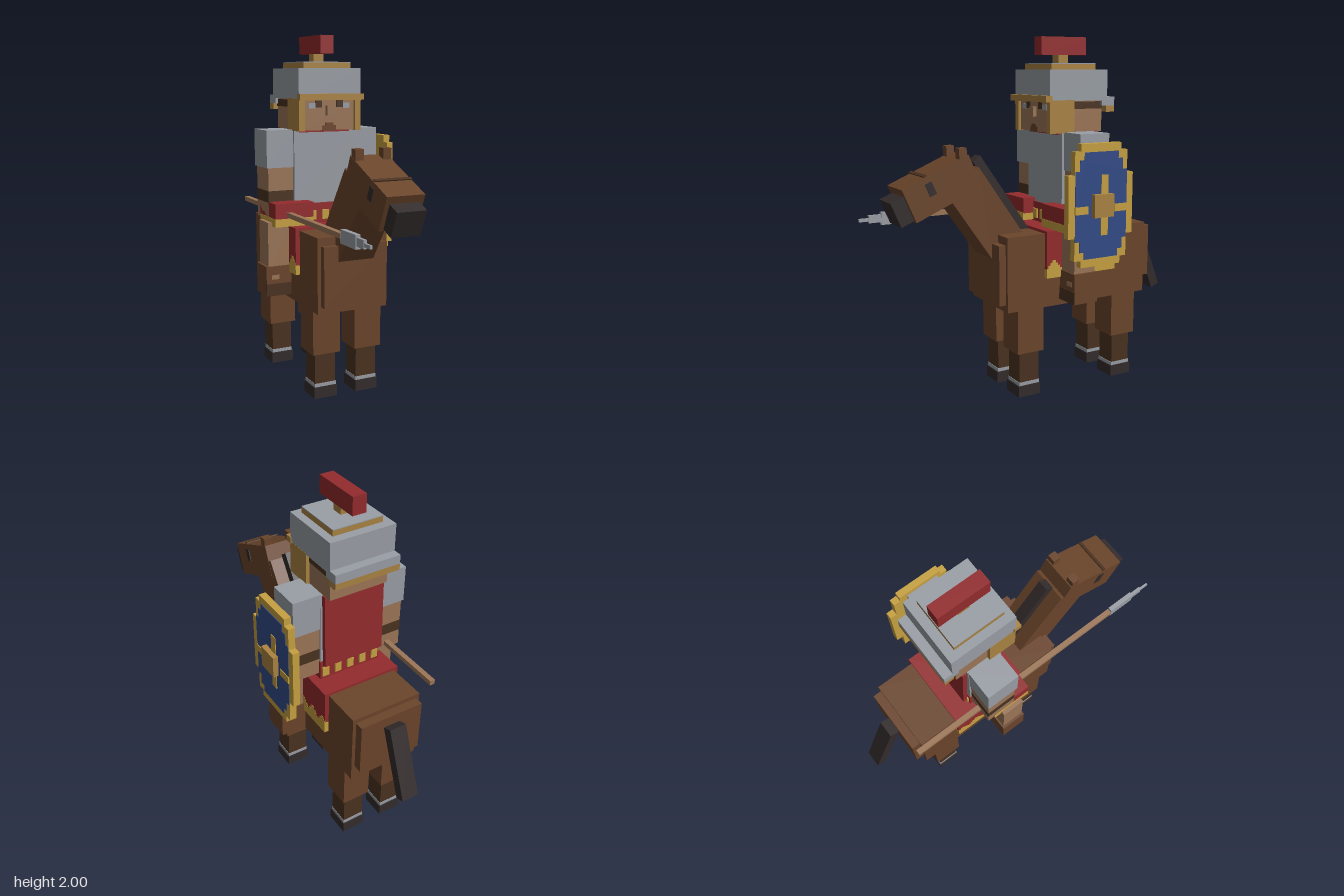
import * as THREE from 'three';

const mat = (name, color) => Object.assign(new THREE.MeshStandardMaterial({ color }), { name });

export function createModel() {
  const root = new THREE.Group();
  root.name = 'mountedSoldier';
  const brown = mat('horse brown', 0x6b452b), darkBrown = mat('dark brown', 0x4a3220);
  const black = mat('hoof black', 0x342c2d), steel = mat('steel', 0x9a9fa6);
  const gold = mat('gold', 0xc8a242), bronze = mat('bronze', 0xab8442);
  const red = mat('red', 0x942b2d), blue = mat('blue', 0x334b88), skin = mat('skin', 0x9c7657);

  const CX = -0.04; // centre line of horse and rider
  const group = (name) => {
    const g = new THREE.Group();
    g.name = name;
    root.add(g);
    return g;
  };
  // box from its limits along each axis
  const box = (g, name, m, x0, x1, y0, y1, z0, z1) => {
    const mesh = new THREE.Mesh(new THREE.BoxGeometry(x1 - x0, y1 - y0, z1 - z0), m);
    mesh.position.set((x0 + x1) / 2, (y0 + y1) / 2, (z0 + z1) / 2);
    mesh.name = name;
    g.add(mesh);
    return mesh;
  };
  // box of half width w on the centre line
  const mid = (g, name, m, w, ...r) => box(g, name, m, CX - w, CX + w, ...r);
  // two boxes mirrored about the centre line, a..b from it
  const pair = (g, name, m, a, b, ...r) => {
    box(g, name + 'Left', m, CX + a, CX + b, ...r);
    box(g, name + 'Right', m, CX - b, CX - a, ...r);
  };
  // box tilted about x, given centre and size
  const tilted = (g, name, m, w, h, d, y, z, angle, x = CX) => {
    const mesh = box(g, name, m, x - w / 2, x + w / 2, y - h / 2, y + h / 2, z - d / 2, z + d / 2);
    mesh.rotation.x = angle;
    return mesh;
  };

  // horse body
  const horse = group('horse');
  mid(horse, 'horseBody', brown, 0.21, 0.51, 0.93, -0.665, 0.26);
  mid(horse, 'chest', brown, 0.19, 0.55, 0.885, 0.25, 0.3);
  mid(horse, 'rump', brown, 0.19, 0.6, 0.905, -0.715, -0.65);
  tilted(horse, 'tail', black, 0.1, 0.415, 0.058, 0.665, -0.817, 0.37);

  // legs
  for (const [name, z] of [['front', 0.115], ['rear', -0.52]]) {
    pair(horse, name + 'UpperLeg', brown, 0.045, 0.21, 0.26, 0.53, z - 0.083, z + 0.083);
    pair(horse, name + 'LowerLeg', darkBrown, 0.065, 0.19, 0.085, 0.26, z - 0.061, z + 0.061);
    pair(horse, name + 'Fetlock', steel, 0.063, 0.192, 0.065, 0.085, z - 0.064, z + 0.064);
    pair(horse, name + 'Hoof', black, 0.058, 0.197, 0, 0.065, z - 0.07, z + 0.07);
  }

  // neck, mane and head
  tilted(horse, 'neck', brown, 0.21, 0.47, 0.232, 1.051, 0.334, 0.61);
  tilted(horse, 'mane', black, 0.065, 0.54, 0.055, 1.125, 0.195, 0.61);
  tilted(horse, 'horseHead', brown, 0.212, 0.192, 0.41, 1.21, 0.583, 0.405);
  tilted(horse, 'muzzle', black, 0.164, 0.142, 0.1, 1.104, 0.79, 0.405);
  tilted(horse, 'noseband', darkBrown, 0.1, 0.006, 0.02, 1.28, 0.68, 0.405).scale.x = 2.1;
  for (const s of [-1, 1]) {
    tilted(horse, 'ear', brown, 0.048, 0.09, 0.045, 1.37, 0.463, 0.05, CX + s * 0.08);
    tilted(horse, 'horseEye', black, 0.006, 0.072, 0.04, 1.212, 0.652, 0.405, CX + s * 0.107);
  }

  // saddle cloth with a stepped gold fringe
  const cloth = group('saddleCloth');
  mid(cloth, 'clothTop', red, 0.235, 0.925, 0.945, -0.435, 0.025);
  pair(cloth, 'clothSide', red, 0.21, 0.235, 0.73, 0.94, -0.435, 0.025);
  pair(cloth, 'fringe', gold, 0.21, 0.236, 0.68, 0.735, -0.435, 0.025);
  for (let i = 0; i < 5; i++) {
    const z = -0.02 - i * 0.0975;
    [[0.038, 0.75], [0.025, 0.765], [0.012, 0.78]].forEach(([w, top]) =>
      pair(cloth, 'fringePeak', gold, 0.209, 0.2365, 0.73, top, Math.max(z - w, -0.4355), z + w));
  }

  // rider legs
  const rider = group('rider');
  pair(rider, 'thigh', red, 0.105, 0.335, 0.99, 1.08, -0.25, -0.02);
  pair(rider, 'thighHem', gold, 0.105, 0.337, 0.95, 0.995, -0.25, -0.018);
  pair(rider, 'shin', skin, 0.232, 0.36, 0.68, 0.97, -0.205, -0.072);
  pair(rider, 'boot', brown, 0.225, 0.375, 0.55, 0.72, -0.215, -0.065);
  pair(rider, 'bootToe', darkBrown, 0.225, 0.375, 0.55, 0.62, -0.07, -0.062);
  pair(rider, 'sandalGap', skin, 0.3, 0.345, 0.645, 0.67, -0.07, -0.062);

  // torso, skirt and cape
  mid(rider, 'breastplate', steel, 0.185, 1.05, 1.475, -0.305, -0.1);
  mid(rider, 'skirt', red, 0.187, 0.945, 1.06, -0.31, -0.09);
  for (let i = -2; i <= 2; i++) {
    const x = CX + i * 0.078;
    box(rider, 'skirtStrapBack', gold, x - 0.02, x + 0.02, 0.965, 1.02, -0.32, -0.3);
    box(rider, 'skirtStrapFront', gold, x - 0.02, x + 0.02, 0.965, 1.02, -0.1, -0.08);
  }
  mid(rider, 'scarf', red, 0.155, 1.465, 1.482, -0.3, -0.09);
  tilted(rider, 'cape', red, 0.36, 0.43, 0.025, 1.265, -0.33, 0.03);

  // arms
  pair(rider, 'shoulderGuard', steel, 0.18, 0.345, 1.27, 1.48, -0.302, -0.113);
  pair(rider, 'upperArm', skin, 0.185, 0.335, 1.14, 1.28, -0.295, -0.12);
  pair(rider, 'wristband', darkBrown, 0.184, 0.336, 1.075, 1.14, -0.296, -0.119);
  pair(rider, 'hand', skin, 0.185, 0.335, 0.98, 1.075, -0.295, -0.12);

  // face
  const head = group('riderHead');
  mid(head, 'head', skin, 0.172, 1.478, 1.66, -0.37, -0.035);
  mid(head, 'hair', darkBrown, 0.175, 1.605, 1.645, -0.373, -0.17);
  mid(head, 'nose', skin, 0.02, 1.56, 1.615, -0.04, -0.01);
  mid(head, 'beard', brown, 0.04, 1.475, 1.505, -0.037, -0.029);
  mid(head, 'mouth', brown, 0.025, 1.505, 1.52, -0.037, -0.029);
  pair(head, 'eyeWhite', steel, 0.085, 0.128, 1.6, 1.63, -0.037, -0.03);
  pair(head, 'iris', darkBrown, 0.045, 0.085, 1.605, 1.645, -0.037, -0.029);

  // helmet
  mid(head, 'helmet', steel, 0.19, 1.65, 1.82, -0.395, -0.018);
  mid(head, 'browBand', bronze, 0.196, 1.645, 1.68, -0.03, 0.013);
  pair(head, 'cheekGuard', bronze, 0.155, 0.191, 1.475, 1.655, -0.175, -0.016);
  mid(head, 'neckGuard', steel, 0.19, 1.62, 1.67, -0.445, -0.36);
  mid(head, 'neckGuardTrim', bronze, 0.19, 1.585, 1.62, -0.445, -0.39);
  mid(head, 'crownRim', bronze, 0.145, 1.82, 1.85, -0.345, -0.055);
  mid(head, 'crownTop', steel, 0.145, 1.85, 1.855, -0.345, -0.055);
  mid(head, 'crestStem', bronze, 0.03, 1.855, 1.905, -0.235, -0.17);
  mid(head, 'crest', red, 0.04, 1.9, 2, -0.35, -0.055);

  // spear
  const spear = group('spear');
  box(spear, 'spearShaft', skin, -0.307, -0.277, 1.003, 1.03, -0.71, 0.64);
  box(spear, 'spearBlade', steel, -0.305, -0.279, 0.98, 1.05, 0.64, 0.8);
  box(spear, 'spearPoint', steel, -0.301, -0.283, 0.995, 1.038, 0.8, 0.87);
  box(spear, 'spearTip', steel, -0.298, -0.286, 1.005, 1.023, 0.87, 0.925);

  // shield: stepped rim, stepped blue field, broken cross and boss
  const shield = group('shield');
  const stepped = (name, m, steps, x0, x1) => {
    const quarter = steps.flatMap(([z, y], i) => (i ? [[z, steps[i - 1][1]], [z, y]] : [[z, y]]));
    const pts = [];
    [[1, 1], [-1, 1], [-1, -1], [1, -1]].forEach(([sz, sy], i) => {
      const q = quarter.map(([z, y]) => new THREE.Vector2(sz * z, sy * y));
      pts.push(...(i % 2 ? q.reverse() : q));
    });
    const geo = new THREE.ExtrudeGeometry(new THREE.Shape(pts), { depth: x1 - x0, bevelEnabled: false });
    geo.rotateY(Math.PI / 2);
    const mesh = new THREE.Mesh(geo, m);
    mesh.name = name;
    mesh.position.set(x0, 1.1, -0.205);
    shield.add(mesh);
  };
  stepped('shieldRim', gold, [[0.21, 0.17], [0.17, 0.295], [0.13, 0.335]], 0.335, 0.374);
  stepped('shieldField', blue, [[0.168, 0.19], [0.14, 0.25], [0.11, 0.29]], 0.37, 0.377);
  for (const s of [-1, 1]) {
    const bar = (name, y, z, h, d) =>
      box(shield, name, gold, 0.372, 0.381, y - h / 2, y + h / 2, z - d / 2, z + d / 2);
    bar('crossUpright', 1.1 + s * 0.113, -0.225, 0.105, 0.045);
    bar('crossArm', 1.08, -0.205 + s * 0.128, 0.042, 0.085);
  }
  box(shield, 'shieldBoss', bronze, 0.37, 0.408, 1.038, 1.163, -0.268, -0.142);
  box(shield, 'shieldGrip', darkBrown, 0.28, 0.336, 1.08, 1.13, -0.235, -0.175);

  return root;
}
